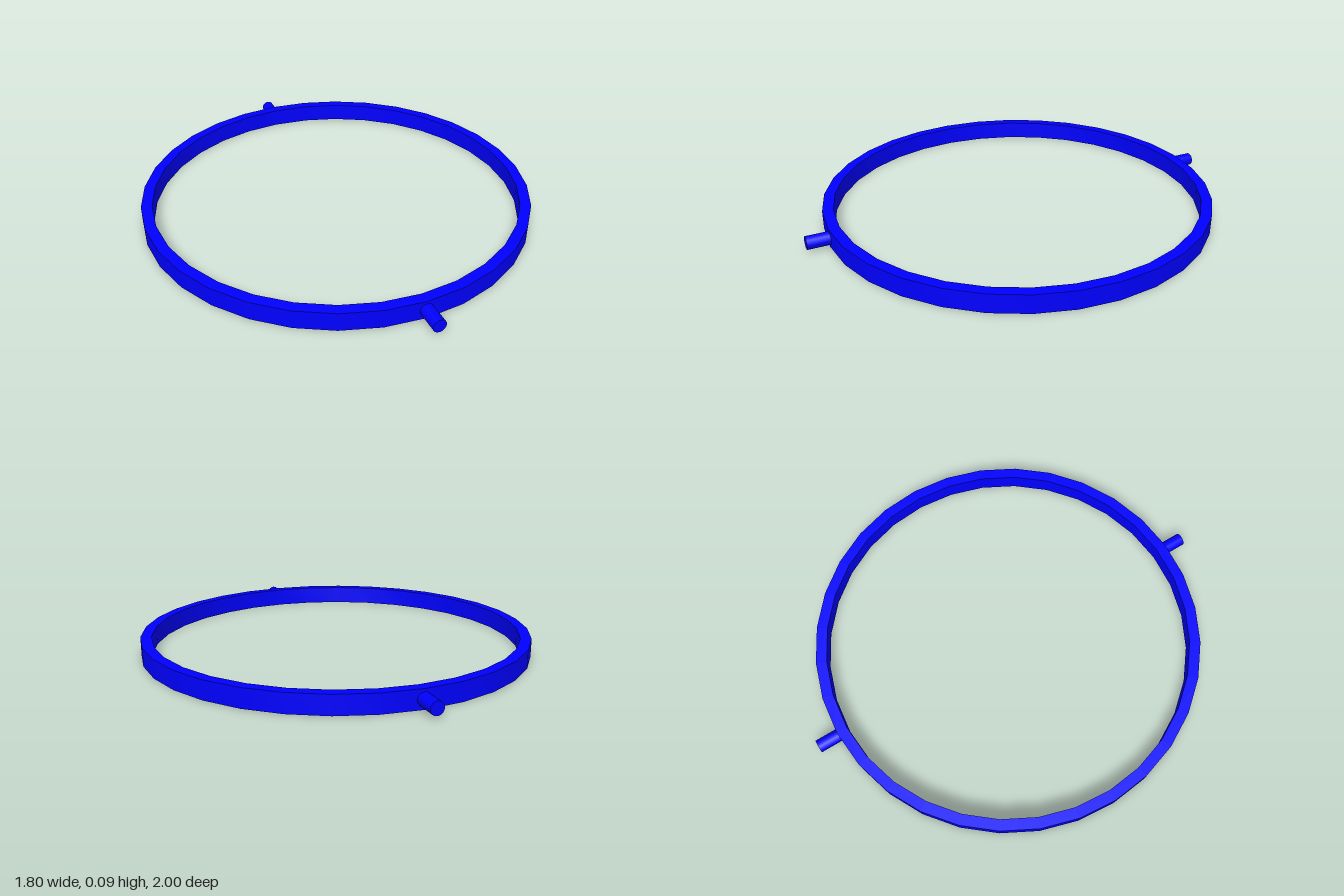
import * as THREE from 'three';
import { toCreasedNormals } from 'three/addons/utils/BufferGeometryUtils.js';

const HEIGHT = 0.085, OUTER = 0.9, INNER = 0.85;
const PIN_RADIUS = 0.03, PIN_START = 0.86, PIN_END = 1;

export function createModel() {
  const model = new THREE.Group();
  model.name = 'pivotRing';
  const blue = new THREE.MeshStandardMaterial({ color: 0x0000ff });

  // Ring: rectangular section turned around y, closed on itself
  const section = [
    [INNER, 0], [OUTER, 0], [OUTER, HEIGHT], [INNER, HEIGHT], [INNER, 0],
  ].map(([x, y]) => new THREE.Vector2(x, y));
  const ringGeometry = toCreasedNormals(new THREE.LatheGeometry(section, 32), Math.PI / 6);
  const ring = new THREE.Mesh(ringGeometry, blue);
  ring.name = 'ring';
  model.add(ring);

  // Pivot pins: short round stubs at the front and back
  const pinGeometry = new THREE.CylinderGeometry(PIN_RADIUS, PIN_RADIUS, PIN_END - PIN_START, 16);
  pinGeometry.rotateX(Math.PI / 2);
  for (const [name, side] of [['frontPin', 1], ['backPin', -1]]) {
    const pin = new THREE.Mesh(pinGeometry, blue);
    pin.name = name;
    pin.position.set(0, HEIGHT / 2, side * (PIN_START + PIN_END) / 2);
    model.add(pin);
  }

  return model;
}
